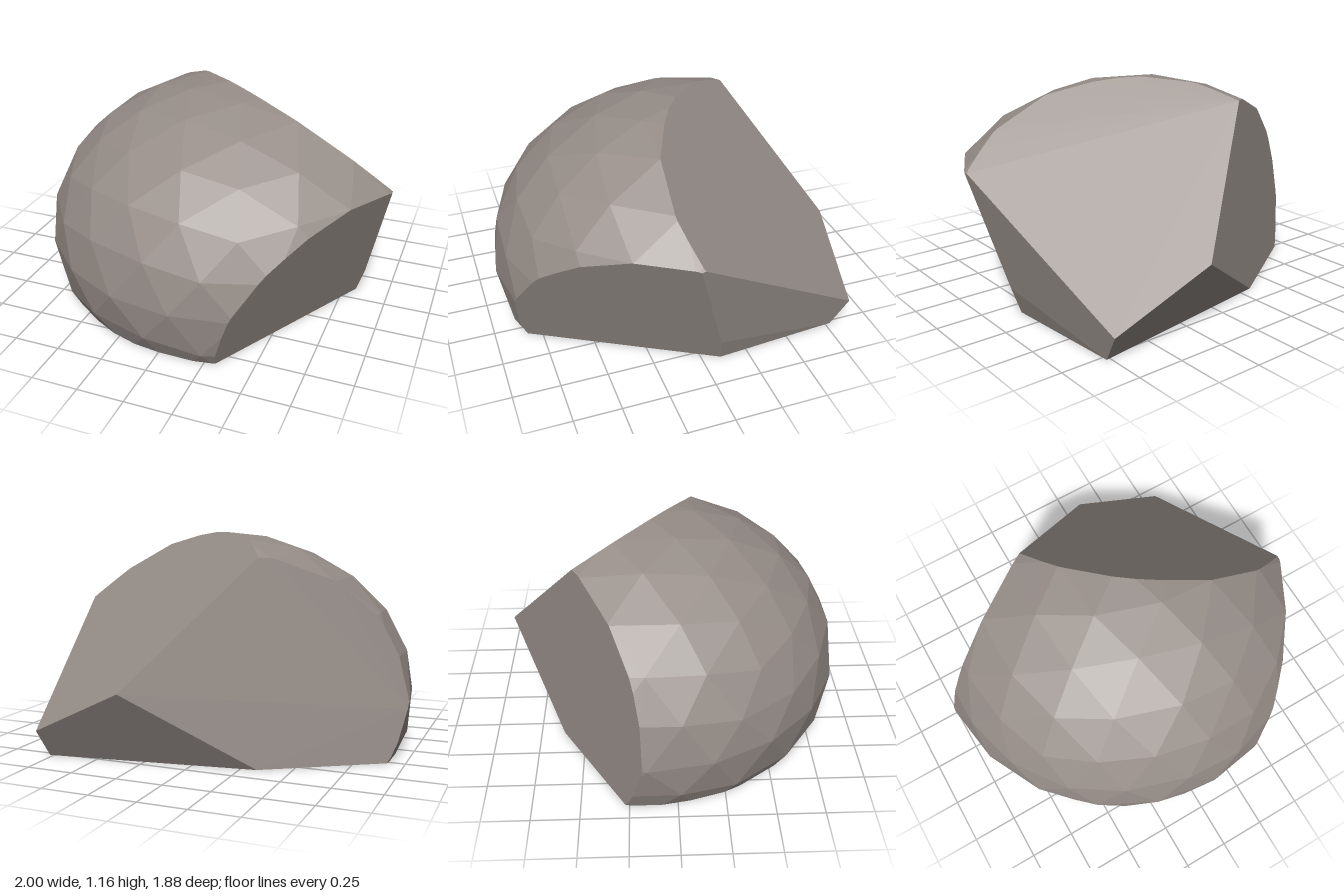
import * as THREE from 'three';

const V = (x, y, z) => new THREE.Vector3(x, y, z);
const CENTRE = V(0.095, 0.305, -0.16);

// Icosphere with one corner at the top, as a list of triangles
function icosphere(levels) {
  const ring = (y, start) => Array.from({ length: 5 }, (_, i) => {
    const a = THREE.MathUtils.degToRad(start + i * 72);
    return V(Math.sin(a) * 2, y, Math.cos(a) * 2).normalize();
  });
  const up = ring(1, 18), low = ring(-1, 54), top = V(0, 1, 0), base = V(0, -1, 0);
  let faces = [];
  for (let i = 0; i < 5; i++) {
    const j = (i + 1) % 5;
    faces.push([top, up[i], up[j]], [up[i], low[i], up[j]],
      [up[j], low[i], low[j]], [base, low[j], low[i]]);
  }
  const mid = (a, b) => a.clone().add(b).normalize();
  for (let n = 0; n < levels; n++) {
    faces = faces.flatMap(([a, b, c]) => {
      const ab = mid(a, b), bc = mid(b, c), ca = mid(c, a);
      return [[a, ab, ca], [ab, b, bc], [ca, bc, c], [ab, bc, ca]];
    });
  }
  return faces;
}

// Keep the part of each convex polygon behind the plane, then cap the opening
function cut(polygons, plane) {
  const rim = [], kept = [];
  for (const { points, name } of polygons) {
    const out = [];
    points.forEach((p, i) => {
      const q = points[(i + 1) % points.length];
      const dp = plane.distanceToPoint(p), dq = plane.distanceToPoint(q);
      if (dp <= 0) out.push(p);
      if ((dp <= 0) !== (dq <= 0)) {
        const hit = p.clone().lerp(q, dp / (dp - dq));
        out.push(hit);
        rim.push(hit);
      }
    });
    if (out.length > 2) kept.push({ points: out, name });
  }
  if (rim.length > 2) {
    const mid = rim.reduce((s, p) => s.add(p), V(0, 0, 0)).divideScalar(rim.length);
    const u = rim[0].clone().sub(mid).normalize();
    const v = plane.normal.clone().cross(u);
    const angle = p => Math.atan2(p.clone().sub(mid).dot(v), p.clone().sub(mid).dot(u));
    rim.sort((a, b) => angle(a) - angle(b));
    const points = rim.filter((p, i) => i === 0 || p.distanceTo(rim[i - 1]) > 1e-6);
    kept.push({ points, name: plane.name });
  }
  return kept;
}

// Plane through three points, facing away from the middle of the rock
function cutPlane(name, a, b, c) {
  const plane = new THREE.Plane().setFromCoplanarPoints(a, b, c);
  if (plane.distanceToPoint(CENTRE) > 0) plane.negate();
  plane.name = name;
  return plane;
}

export function createModel() {
  const group = new THREE.Group();
  group.name = 'boulder';
  const stone = new THREE.MeshStandardMaterial({ color: 0x968d88 });
  stone.name = 'warm grey stone';

  // Corners where the broken faces meet
  const sideTop = V(1, 0.75, 0.09), backLow = V(0.79, 0.15, -0.87), backTip = V(0.27, 0.4, -0.94);
  const footBack = V(0.77, 0, -0.78), footSide = V(0.82, 0, -0.1), sideLow = V(0.87, 0.15, -0.05);
  const planes = [
    cutPlane('underside', V(0, 0, 0), V(1, 0, 0), V(0, 0, 1)),
    cutPlane('slopingBackFace', sideTop, backLow, backTip),
    cutPlane('sideFace', sideTop, backLow, sideLow),
    cutPlane('sideFootFace', sideLow, footSide, footBack),
    cutPlane('frontCornerFace', footSide, V(0.3, 0, 0.84), V(0.56, 0.58, 0.78)),
    cutPlane('backUndercutFace', backLow, backTip, footBack),
    cutPlane('backFace', backTip, V(-0.31, 1.08, -0.51), V(-1, 0.31, -0.18)),
  ];

  // Flattened faceted ball, broken along each plane
  const size = V(1.095, 0.86, 1.095);
  let polygons = icosphere(2).map(f => ({
    name: 'roundedFace',
    points: f.map(p => p.clone().multiply(size).add(CENTRE)),
  }));
  for (const plane of planes) polygons = cut(polygons, plane);

  // One flat-shaded mesh for each named part
  for (const name of new Set(polygons.map(p => p.name))) {
    const corners = [];
    for (const { points } of polygons.filter(p => p.name === name)) {
      for (let i = 1; i < points.length - 1; i++) corners.push(points[0], points[i], points[i + 1]);
    }
    const geometry = new THREE.BufferGeometry().setFromPoints(corners);
    geometry.computeVertexNormals();
    const mesh = new THREE.Mesh(geometry, stone);
    mesh.name = name;
    group.add(mesh);
  }
  return group;
}
